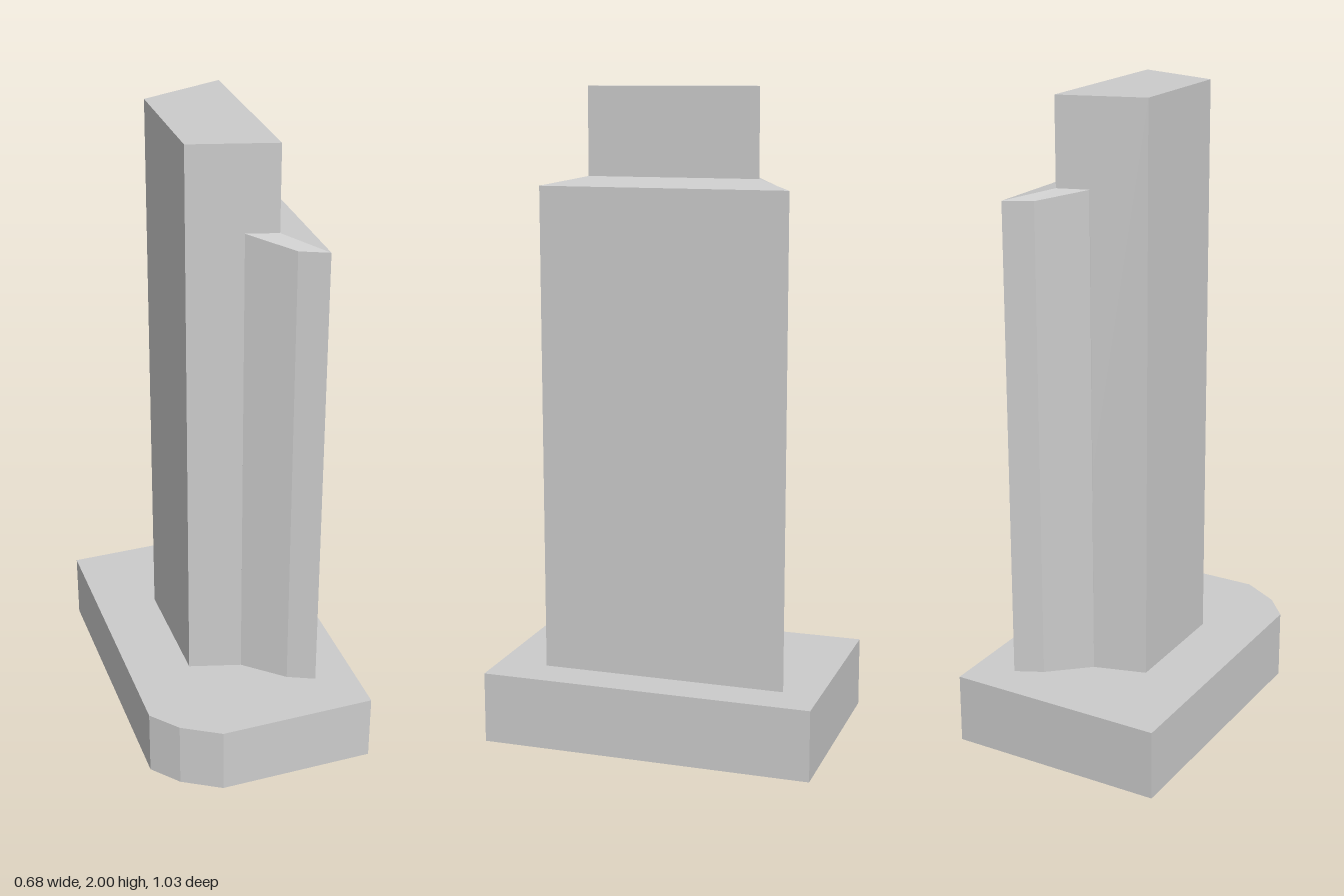
import * as THREE from 'three';

const material = new THREE.MeshStandardMaterial({ color: 0xcccccc, flatShading: true });

// Solid through stacked rings of [x, y, z] points, each ring clockwise seen from above
function loft(name, rings) {
  const pos = [];
  const tri = (a, b, c) => pos.push(...a, ...b, ...c);
  const n = rings[0].length;
  for (let r = 0; r < rings.length - 1; r++) {
    const lo = rings[r], hi = rings[r + 1];
    for (let i = 0; i < n; i++) {
      const j = (i + 1) % n;
      tri(lo[j], lo[i], hi[i]);
      tri(lo[j], hi[i], hi[j]);
    }
  }
  const bottom = rings[0], top = rings[rings.length - 1];
  for (let i = 1; i < n - 1; i++) {
    tri(bottom[0], bottom[i], bottom[i + 1]);
    tri(top[0], top[i + 1], top[i]);
  }
  const geo = new THREE.BufferGeometry();
  geo.setAttribute('position', new THREE.Float32BufferAttribute(pos, 3));
  geo.computeVertexNormals();
  const mesh = new THREE.Mesh(geo, material);
  mesh.name = name;
  return mesh;
}

// Lifts a flat [x, z] outline to height y
const at = (outline, y) => outline.map(([x, z]) => [x, y, z]);

export function createModel() {
  const group = new THREE.Group();
  group.name = 'slabTower';
  const baseTop = 0.22;

  // Base slab with one clipped corner
  const base = [[-0.34, -0.517], [0.34, -0.517], [0.34, 0.515], [-0.15, 0.515], [-0.268, 0.445], [-0.34, 0.36]];
  group.add(loft('base', [at(base, 0), at(base, baseTop)]));

  // Tall tapered column, one back corner leaning in slightly towards the top
  const foot = [[-0.148, -0.21], [0.106, -0.285], [0.106, 0.244], [-0.148, 0.171]];
  const head = [[-0.148, -0.202], ...foot.slice(1)];
  group.add(loft('column', [at(foot, baseTop), at(head, 2)]));

  // Flared slab around the column with a sloping shoulder
  const flare = [[0.012, -0.257], [0.13, -0.362], [0.213, -0.403], [0.213, 0.36], [0.13, 0.322], [0.012, 0.217]];
  const inner = [flare[0], foot[1], foot[1], foot[2], foot[2], flare[5]];
  const eaves = flare.map(([x, z]) => [x, x < 0.1 ? 1.735 : 1.71, z]);
  group.add(loft('flaredSlab', [at(flare, baseTop), eaves, at(inner, 1.735)]));

  return group;
}
